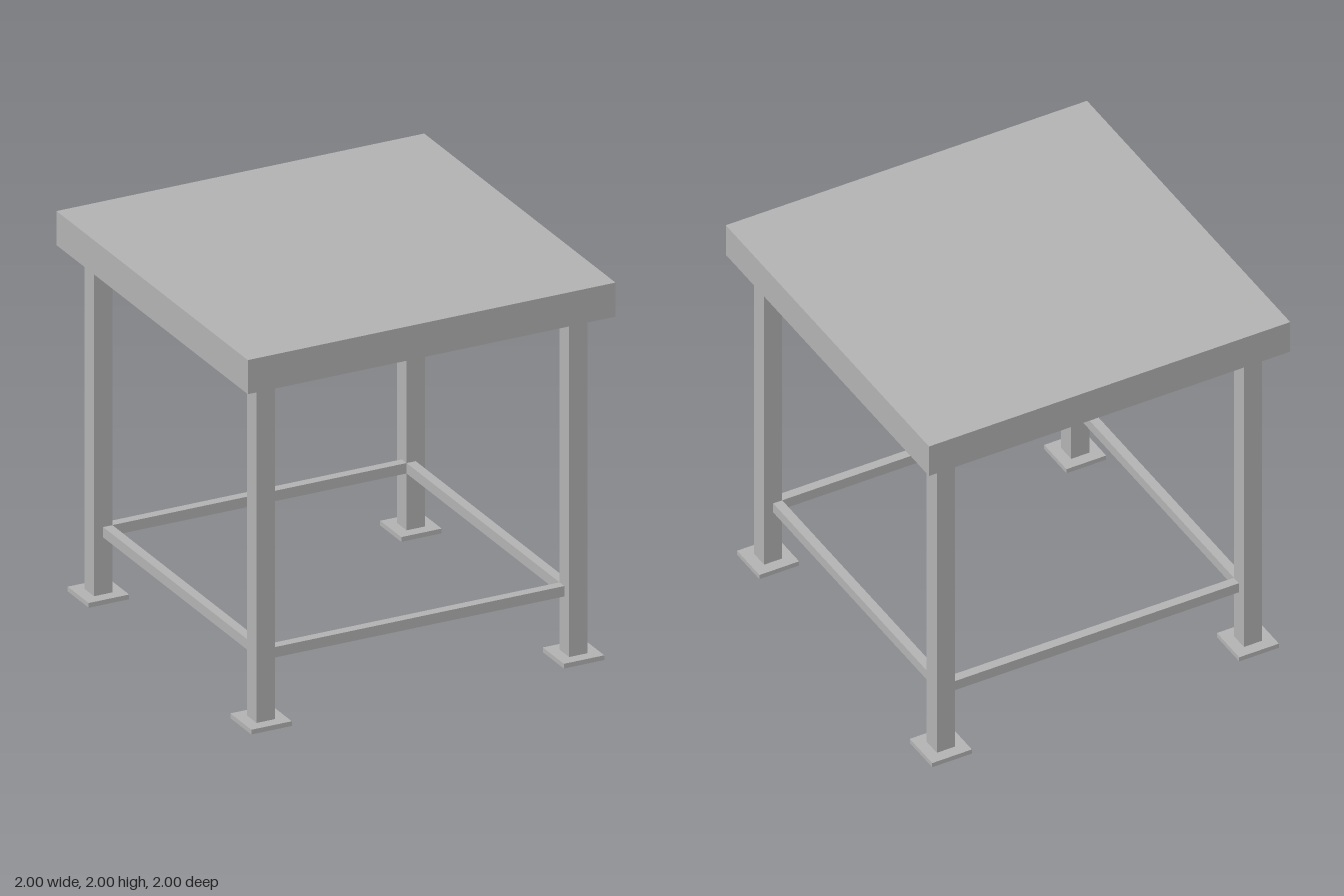
import * as THREE from 'three';

const steel = new THREE.MeshStandardMaterial({ color: 0xb2b2b2 });
steel.name = 'steel grey';

// Box given by its lower and upper corners
function block(name, x0, x1, y0, y1, z0, z1) {
  const mesh = new THREE.Mesh(new THREE.BoxGeometry(x1 - x0, y1 - y0, z1 - z0), steel);
  mesh.position.set((x0 + x1) / 2, (y0 + y1) / 2, (z0 + z1) / 2);
  mesh.name = name;
  return mesh;
}

// Square top with a rim and a recessed underside: a four-sided lathe
function tableTop() {
  const profile = [[0, 1.93], [0.9, 1.93], [0.9, 1.82], [1, 1.82], [1, 2], [0, 2]]
    .map(([half, y]) => new THREE.Vector2(half * Math.SQRT2, y));
  const geometry = new THREE.LatheGeometry(profile, 4, Math.PI / 4).toNonIndexed();
  geometry.computeVertexNormals();
  const mesh = new THREE.Mesh(geometry, steel);
  mesh.name = 'tableTop';
  return mesh;
}

// Post standing on a square foot plate
function leg() {
  const group = new THREE.Group();
  group.name = 'leg';
  group.add(
    block('post', -0.05, 0.05, 0.025, 1.82, -0.05, 0.05),
    block('footPlate', -0.11, 0.11, 0, 0.025, -0.11, 0.11)
  );
  return group;
}

export function createModel() {
  const model = new THREE.Group();
  model.name = 'table';
  model.add(tableTop());

  for (const x of [-0.85, 0.85]) {
    for (const z of [-0.85, 0.85]) {
      const corner = leg();
      corner.position.set(x, 0, z);
      model.add(corner);
    }
  }

  // Stretchers between the legs, flush with their inner faces
  for (let i = 0; i < 4; i++) {
    const side = new THREE.Group();
    side.name = 'stretcherSide';
    side.rotation.y = i * Math.PI / 2;
    side.add(block('stretcher', -0.8, 0.8, 0.325, 0.38, 0.8, 0.85));
    model.add(side);
  }
  return model;
}
